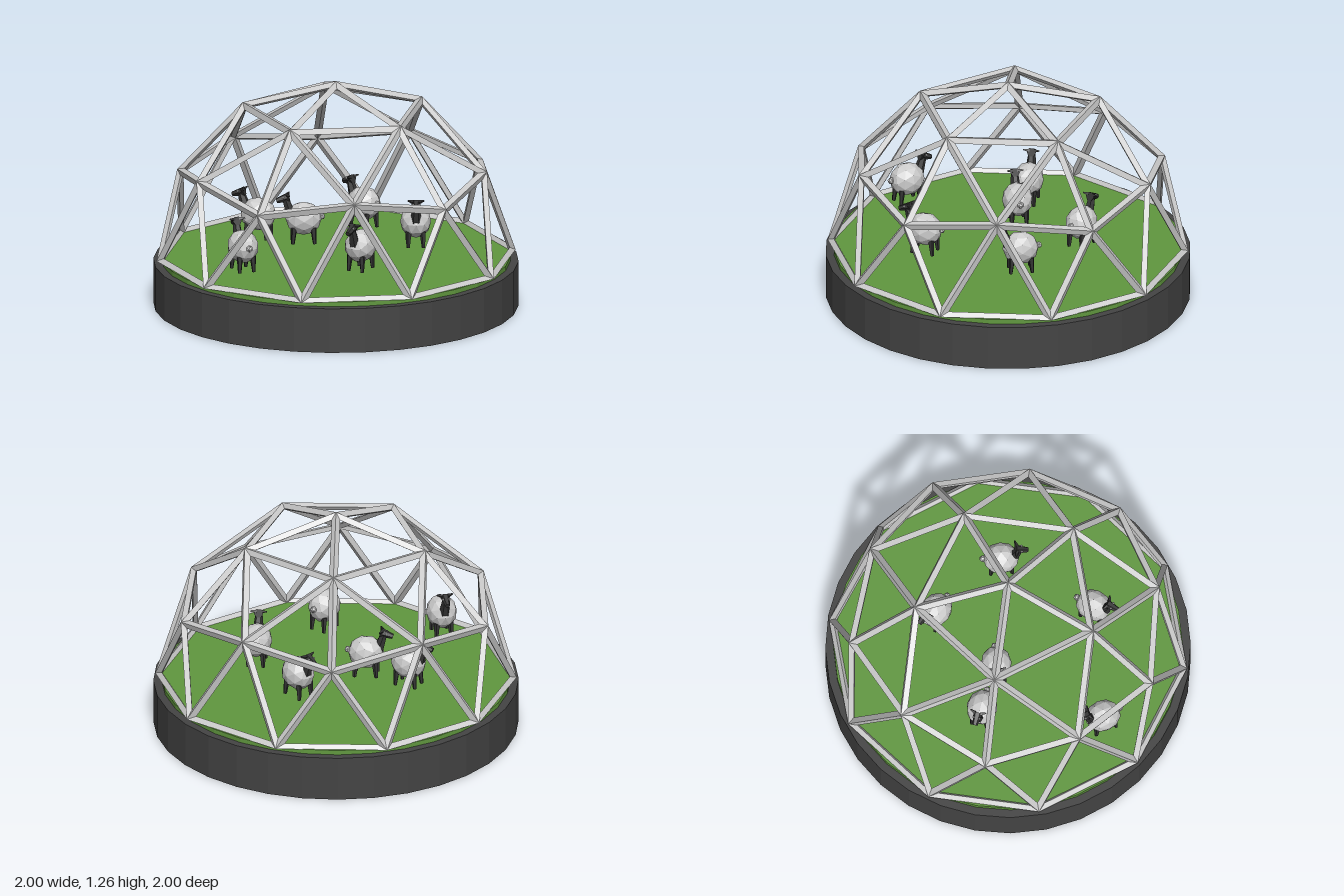
import * as THREE from 'three';

const material = (color) => new THREE.MeshStandardMaterial({ color, flatShading: true });
const steel = material(0xcccccc);
const stone = material(0x444444);
const turf = material(0x61983f);
const fleece = material(0xcccccc);
const dark = material(0x333333);

function addMesh(parent, name, geometry, mat, x = 0, y = 0, z = 0) {
  const mesh = new THREE.Mesh(geometry, mat);
  mesh.name = name;
  mesh.position.set(x, y, z);
  parent.add(mesh);
  return mesh;
}

// Tapered bar between two points
function addBar(parent, name, from, to, r0, r1, sides, mat) {
  const a = new THREE.Vector3(...from), b = new THREE.Vector3(...to);
  const dir = b.clone().sub(a);
  const bar = addMesh(parent, name, new THREE.CylinderGeometry(r1, r0, dir.length(), sides), mat);
  bar.position.copy(a).add(b).multiplyScalar(0.5);
  bar.quaternion.setFromUnitVectors(new THREE.Vector3(0, 1, 0), dir.normalize());
  return bar;
}

// Two-frequency geodesic hemisphere: directions given ring by ring
function domeDirections() {
  const rings = [[0, 1, 0], [31.717, 5, 0], [63.435, 5, 0], [58.283, 5, 36], [90, 10, 18]];
  const dirs = [];
  for (const [polar, count, start] of rings) {
    for (let i = 0; i < count; i++) {
      dirs.push(new THREE.Vector3().setFromSphericalCoords(
        1,
        THREE.MathUtils.degToRad(polar),
        THREE.MathUtils.degToRad(90 + start + i * 360 / count)
      ));
    }
  }
  return dirs;
}

// Diamond-section struts: outer ridge, inner ridge and an inset line on each panel
function frameGeometry(outer, inner, inset) {
  const dirs = domeDirections();
  const mid = (outer + inner) / 2;
  const near = (a, b) => dirs[a].distanceTo(dirs[b]) < 0.65;
  const pos = [];
  const quad = (a, b, c, d) => {
    for (const p of [a, b, c, a, c, d]) pos.push(p.x, p.y, p.z);
  };

  const addPanel = (tri) => {
    const normal = new THREE.Vector3().subVectors(tri[1], tri[0])
      .cross(new THREE.Vector3().subVectors(tri[2], tri[0]));
    if (normal.dot(tri[0]) < 0) tri.reverse();
    const pts = tri.map((d) => d.clone().multiplyScalar(mid));
    const len = pts.map((_, i) => pts[(i + 1) % 3].distanceTo(pts[(i + 2) % 3]));
    const perimeter = len[0] + len[1] + len[2];
    const centre = new THREE.Vector3();
    pts.forEach((p, i) => centre.addScaledVector(p, len[i] / perimeter));
    const area = new THREE.Triangle(...pts).getArea();
    const t = inset * perimeter / (2 * area);
    const ins = pts.map((p) => p.clone().lerp(centre, t));
    const out = tri.map((d) => d.clone().multiplyScalar(outer));
    const inn = tri.map((d) => d.clone().multiplyScalar(inner));
    for (let i = 0; i < 3; i++) {
      const j = (i + 1) % 3;
      quad(out[i], out[j], ins[j], ins[i]);
      quad(inn[i], ins[i], ins[j], inn[j]);
      // Close the underside along the rim
      if (tri[i].y < 0.01 && tri[j].y < 0.01) quad(out[i], inn[i], inn[j], out[j]);
    }
  };

  for (let a = 0; a < dirs.length; a++)
    for (let b = a + 1; b < dirs.length; b++)
      for (let c = b + 1; c < dirs.length; c++)
        if (near(a, b) && near(b, c) && near(a, c)) addPanel([dirs[a], dirs[b], dirs[c]]);

  const geometry = new THREE.BufferGeometry();
  geometry.setAttribute('position', new THREE.Float32BufferAttribute(pos, 3));
  geometry.computeVertexNormals();
  return geometry;
}

// One sheep, facing +x, standing around its own origin
function createSheep() {
  const sheep = new THREE.Group();
  sheep.name = 'sheep';
  const body = addMesh(sheep, 'woolBody', new THREE.IcosahedronGeometry(1, 1), fleece, 0, 0.465, 0);
  body.scale.set(0.1, 0.093, 0.085);

  addBar(sheep, 'neck', [0.065, 0.475, 0], [0.098, 0.575, 0], 0.032, 0.02, 6, dark);
  const head = addBar(sheep, 'head', [0.08, 0.588, 0], [0.148, 0.565, 0], 0.026, 0.014, 6, dark);
  head.name = 'head';
  addMesh(sheep, 'tail', new THREE.IcosahedronGeometry(0.02, 0), fleece, -0.1, 0.475, 0);

  for (const side of [-1, 1]) {
    addBar(sheep, 'ear', [0.088, 0.596, side * 0.014], [0.078, 0.602, side * 0.045], 0.012, 0.004, 4, dark);
    addMesh(sheep, 'eye', new THREE.IcosahedronGeometry(0.007, 0), fleece, 0.113, 0.588, side * 0.017);
    for (const x of [-0.052, 0.052]) {
      addBar(sheep, 'leg', [x * 1.15, 0.33, side * 0.042], [x, 0.42, side * 0.038], 0.01, 0.018, 5, dark);
    }
  }
  return sheep;
}

export function createModel() {
  const model = new THREE.Group();
  model.name = 'sheepDome';

  // Round plinth and grass
  addMesh(model, 'plinth', new THREE.CylinderGeometry(1, 1, 0.25, 32), stone, 0, 0.125, 0);
  addMesh(model, 'grass', new THREE.CylinderGeometry(0.955, 0.955, 0.03, 32), turf, 0, 0.261, 0);

  // Geodesic frame
  addMesh(model, 'domeFrame', frameGeometry(0.99, 0.95, 0.024), steel, 0, 0.275, 0);

  // Flock: x, z, then facing direction in x and z
  const flock = [
    [-0.18, -0.375, -1, 0.1],
    [0.285, -0.33, 0.75, 0.66],
    [-0.175, 0.08, -0.6, 0.7],
    [-0.41, 0.2, -0.88, 0.48],
    [0.44, 0.225, 0.32, 0.95],
    [0.015, 0.71, -0.93, -0.36],
  ];
  for (const [x, z, dx, dz] of flock) {
    const sheep = createSheep();
    sheep.position.set(x, 0, z);
    sheep.rotation.y = Math.atan2(-dz, dx);
    model.add(sheep);
  }
  return model;
}
